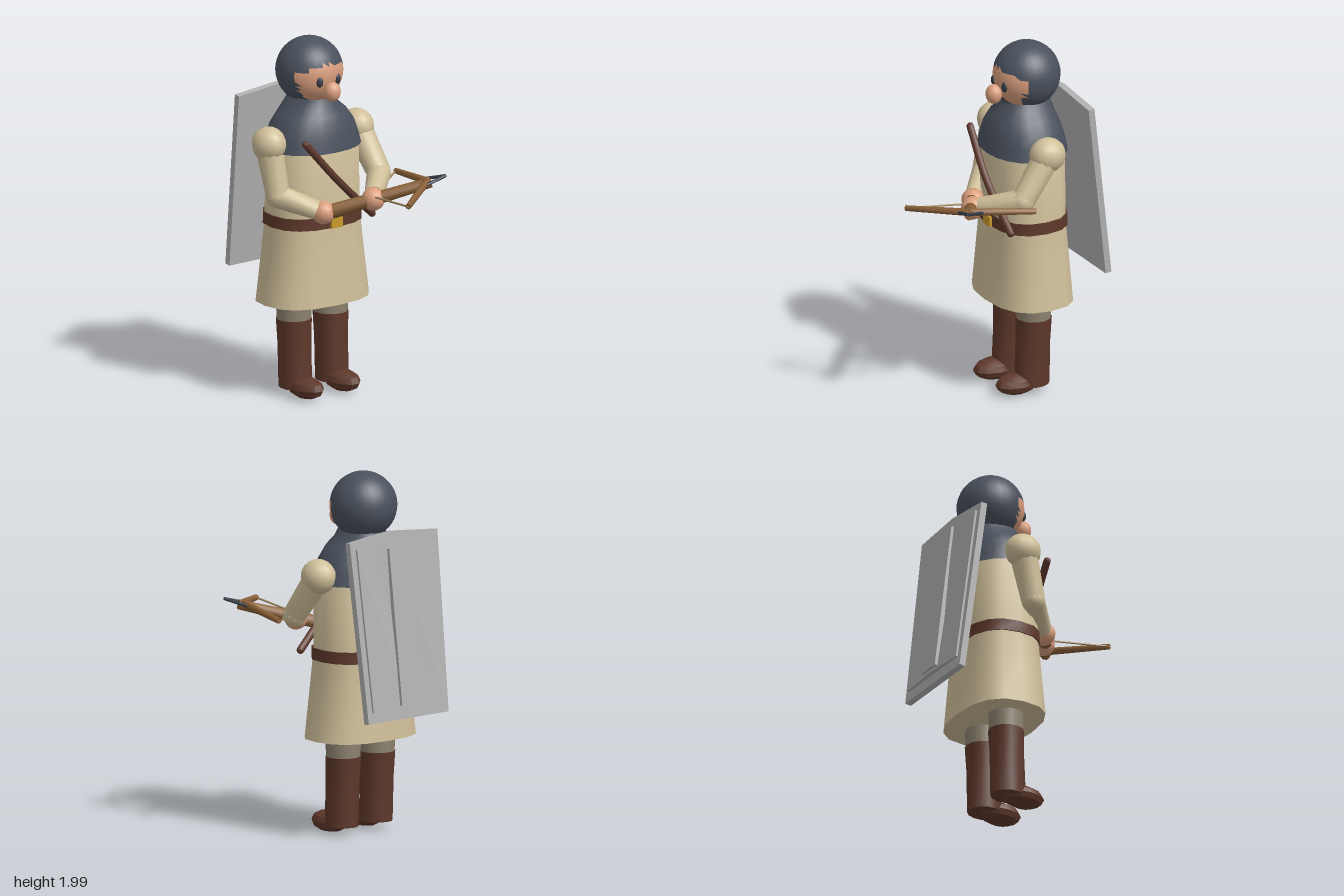
import * as THREE from 'three';
import { toCreasedNormals } from 'three/addons/utils/BufferGeometryUtils.js';

const mat = (name, color, side = THREE.FrontSide) => {
  const m = new THREE.MeshStandardMaterial({ color, side });
  m.name = name;
  return m;
};
const V = (x, y, z) => new THREE.Vector3(x, y, z);

export function createModel() {
  const cloth = mat('cloth', 0xd0c09a);
  const slate = mat('slate', 0x4a515d, THREE.DoubleSide);
  const leather = mat('leather', 0x5e382b);
  const skin = mat('skin', 0xdb9f7e);
  const wood = mat('wood', 0x8a6038);
  const steel = mat('steel', 0xb2b2b2);
  const trouser = mat('trouser', 0x8c826f);
  const gold = mat('gold', 0xc99a2a);
  const cord = mat('cord', 0xa58b62);
  const dark = mat('eye dark', 0x343b47);

  const model = new THREE.Group();
  model.name = 'crossbowSoldier';
  const CX = -0.038, CZ = -0.175;

  const add = (name, geo, material, x = 0, y = 0, z = 0, parent = model) => {
    const m = new THREE.Mesh(geo, material);
    m.name = name;
    m.position.set(x, y, z);
    parent.add(m);
    return m;
  };

  // Stack of rounded-square rings [y, rx, rz, zShift], listed from top to bottom
  const loft = (rings, sides = 16, power = 2.5, open = false) => {
    const n = rings.length - 1;
    const g = new THREE.CylinderGeometry(1, 1, 1, sides, n, open);
    const p = g.attributes.position;
    const bend = (v) => Math.sign(v) * Math.pow(Math.abs(v), 2 / power);
    for (let i = 0; i < p.count; i++) {
      const [y, rx, rz, dz = 0] = rings[Math.round((0.5 - p.getY(i)) * n)];
      p.setXYZ(i, bend(p.getX(i)) * rx, y, bend(p.getZ(i)) * rz + dz);
    }
    return toCreasedNormals(g, 0.8);
  };

  const ball = (name, r, at, material, scale = [1, 1, 1], w = 14, h = 10) => {
    const m = add(name, new THREE.SphereGeometry(r, w, h), material, ...at);
    m.scale.set(...scale);
    return m;
  };

  // Tapered rod from a to b
  const rod = (name, a, b, ra, rb, material, sides = 10) => {
    const d = b.clone().sub(a);
    const g = toCreasedNormals(new THREE.CylinderGeometry(rb, ra, d.length(), sides), 0.9);
    const m = add(name, g, material, ...a.clone().add(b).multiplyScalar(0.5).toArray());
    m.quaternion.setFromUnitVectors(V(0, 1, 0), d.normalize());
    return m;
  };

  // Tunic, mantle and belt
  add('tunic', loft([
    [1.46, 0.24, 0.18], [1.4, 0.265, 0.2], [1.0, 0.27, 0.205],
    [0.78, 0.295, 0.22], [0.54, 0.325, 0.235],
  ]), cloth, CX, 0, CZ);
  add('mantle', loft([
    [1.68, 0.115, 0.135, -0.01], [1.64, 0.14, 0.15, -0.01], [1.59, 0.195, 0.175],
    [1.53, 0.238, 0.2], [1.47, 0.258, 0.215], [1.4, 0.277, 0.226],
  ], 20, 2.2, true), slate, CX, 0, CZ);
  add('belt', loft([[1.04, 0.278, 0.213], [0.975, 0.28, 0.214]]), leather, CX, 0, CZ);
  add('buckle', new THREE.BoxGeometry(0.075, 0.056, 0.03), gold, CX, 1.003, 0.035);

  // Head: one sphere, with the face opening coloured as skin and the rest as hood
  const headGeo = new THREE.SphereGeometry(0.185, 28, 22).toNonIndexed();
  const hp = headGeo.attributes.position;
  const split = { face: [], hood: [] };
  for (let i = 0; i < hp.count; i += 3) {
    const mid = (f) => (hp[f](i) + hp[f](i + 1) + hp[f](i + 2)) / 3;
    const brow = 0.062 - 1.6 * mid('getX') ** 2;
    const isFace = mid('getZ') > 0.09 && mid('getY') < brow;
    split[isFace ? 'face' : 'hood'].push(i, i + 1, i + 2);
  }
  headGeo.setIndex([...split.face, ...split.hood]);
  headGeo.addGroup(0, split.face.length, 0);
  headGeo.addGroup(split.face.length, split.hood.length, 1);
  add('head', headGeo, [skin, slate], CX, 1.815, -0.2);
  ball('nose', 0.05, [CX, 1.732, 0.003], skin, [0.96, 1.1, 0.9]);
  for (const s of [-1, 1]) ball('eye', 0.02, [CX + s * 0.06, 1.787, -0.031], dark, [1, 1.5, 0.8], 10, 8);

  // Legs, boots and shoes
  for (const s of [-1, 1]) {
    const x = CX + s * 0.126;
    add('trouserLeg', new THREE.CylinderGeometry(0.098, 0.094, 0.2, 14), trouser, x, 0.52, CZ);
    add('boot', loft([
      [0.44, 0.097, 0.099], [0.3, 0.09, 0.095, 0.005], [0.055, 0.086, 0.1, 0.013],
    ], 14, 2), leather, x, 0, CZ);
    const toe = new THREE.SphereGeometry(1, 10, 6);
    toe.scale(0.083, 0.06, 0.125);
    add('shoe', toCreasedNormals(toe, 0.5), leather, x, 0.069, -0.07);
  }

  // Arms: shoulder, elbow, hand
  const arms = {
    left: [V(0.262, 1.45, -0.165), V(0.285, 1.22, 0.0), V(0.088, 1.15, 0.203)],
    right: [V(-0.338, 1.45, -0.17), V(-0.33, 1.17, -0.1), V(-0.15, 1.085, 0.07)],
  };
  for (const [side, [shoulder, elbow, hand]] of Object.entries(arms)) {
    ball(side + 'Shoulder', 0.097, shoulder.toArray(), cloth, [0.95, 1, 1.05]);
    rod(side + 'UpperArm', shoulder, elbow, 0.078, 0.066, cloth);
    ball(side + 'Elbow', 0.066, elbow.toArray(), cloth);
    rod(side + 'Forearm', elbow, elbow.clone().lerp(hand, 0.85), 0.066, 0.053, cloth);
    ball(side + 'Hand', 0.064, hand.toArray(), skin);
  }

  // Strap across the chest
  const strapPath = new THREE.CatmullRomCurve3([
    V(-0.245, 1.475, 0.035), V(-0.04, 1.245, 0.05), V(0.21, 1.01, 0.035),
  ]);
  const strap = new THREE.TubeGeometry(strapPath, 10, 0.021, 8);
  add('chestStrap', strap, leather);
  for (const t of [0, 1]) ball('strapEnd', 0.021, strapPath.getPoint(t).toArray(), leather, [1, 1, 1], 8, 6);

  // Crossbow: stock, limbs, string and stirrup
  const tip = V(0.355, 1.235, 0.37), prod = V(0.335, 1.243, 0.36);
  rod('stock', V(-0.15, 1.08, 0.075), tip, 0.042, 0.029, wood, 8);
  const nut = V(0.07, 1.17, 0.215);
  for (const end of [V(0.41, 1.203, -0.01), V(0.03, 1.203, 0.585)]) {
    rod('bowLimb', prod, end, 0.021, 0.016, wood, 8);
    rod('bowString', end, nut, 0.006, 0.006, cord, 6);
  }
  const stirrupTip = V(0.422, 1.27, 0.413);
  for (const foot of [V(0.36, 1.235, 0.29), V(0.29, 1.235, 0.402)]) {
    rod('stirrup', foot, stirrupTip, 0.009, 0.009, dark, 6);
  }

  // Shield on the back: gabled board, ridged panel and centre rib
  const shield = new THREE.Group();
  shield.name = 'shield';
  shield.position.set(-0.037, 1.19, -0.483);
  shield.rotation.x = 0.122;
  model.add(shield);
  const board = (name, wTop, wBot, yTop, yBot, peak, zBack, zFront, ridge) => {
    const s = new THREE.Shape([
      [-wBot, yBot], [0, yBot], [wBot, yBot], [wTop, yTop], [0, yTop + peak], [-wTop, yTop],
    ].map(([x, y]) => new THREE.Vector2(x, y)));
    const g = new THREE.ExtrudeGeometry(s, { depth: zFront - zBack, bevelEnabled: false });
    g.translate(0, 0, zBack);
    const p = g.attributes.position;
    for (let i = 0; i < p.count; i++) {
      if (Math.abs(p.getX(i)) < 1e-4 && p.getZ(i) < zBack + 1e-4) p.setZ(i, zBack - ridge);
    }
    add(name, toCreasedNormals(g, 0.05), steel, 0, 0, 0, shield);
  };
  board('shieldBoard', 0.324, 0.295, 0.485, -0.51, 0.03, -0.018, 0.018, 0);
  board('shieldPanel', 0.285, 0.262, 0.445, -0.45, 0.02, -0.03, -0.01, 0.012);
  board('shieldRib', 0.073, 0.073, 0.425, -0.432, 0, -0.055, -0.02, 0);

  return model;
}
